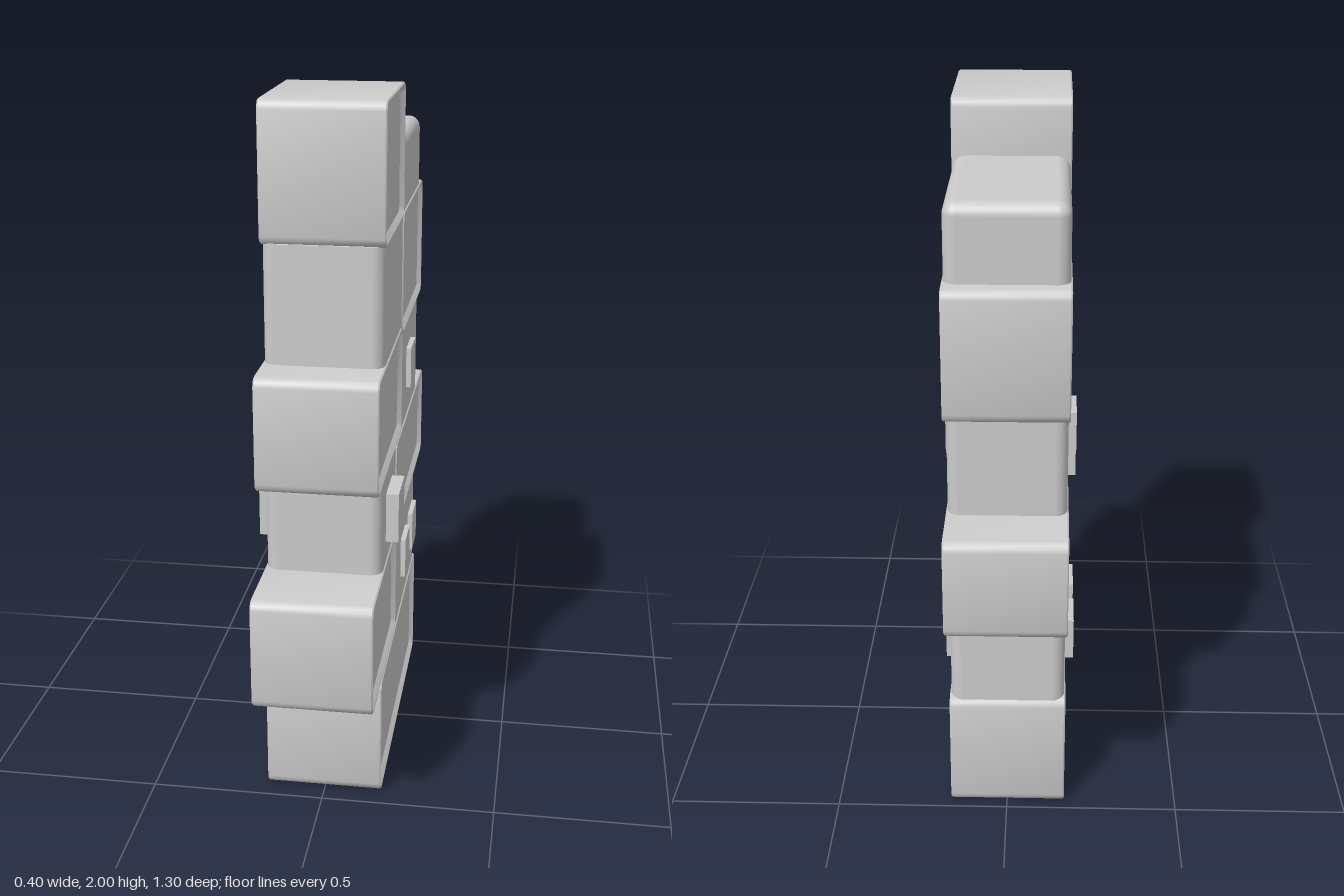
import * as THREE from 'three';
import { toCreasedNormals } from 'three/addons/utils/BufferGeometryUtils.js';
import { RoundedBoxGeometry } from 'three/addons/geometries/RoundedBoxGeometry.js';

const XR = -0.17, XL = 0.166;
const material = new THREE.MeshStandardMaterial({ color: 0xcccccc });

// Rounded rectangle in the y-z plane, counter-clockwise about +x
function ring(y0, y1, z0, z1, inset, radius) {
  const r = Math.max(radius - inset * 0.7, 0.004), points = [], steps = 3;
  const corners = [[y1, z1, -1, -1], [y0, z1, 1, -1], [y0, z0, 1, 1], [y1, z0, -1, 1]];
  corners.forEach(([y, z, sy, sz], k) => {
    for (let i = 0; i <= steps; i++) {
      const a = (k + i / steps) * Math.PI / 2;
      points.push([y + sy * (inset + r) + r * Math.cos(a), z + sz * (inset + r) + r * Math.sin(a)]);
    }
  });
  return points;
}

// Block with a thin raised rim and a recessed panel on each side
function framedBlock(y0, y1, z0, z1) {
  const sections = [
    [XR + 0.013, 0.02], [XR, 0.007], [XR, 0.003], [XR + 0.004, 0],
    [XL - 0.004, 0], [XL, 0.003], [XL, 0.007], [XL - 0.013, 0.02],
  ];
  const positions = [], indices = [];
  let n = 0;
  for (const [x, inset] of sections) {
    const points = ring(y0, y1, z0, z1, inset, 0.026);
    n = points.length;
    for (const [y, z] of points) positions.push(x, y, z);
  }
  for (let s = 0; s < sections.length - 1; s++) {
    for (let j = 0; j < n; j++) {
      const a = s * n + j, b = s * n + (j + 1) % n;
      indices.push(a, b, a + n, b, b + n, a + n);
    }
  }
  // Side panels
  const last = (sections.length - 1) * n;
  for (let j = 1; j < n - 1; j++) {
    indices.push(0, j + 1, j, last, last + j, last + j + 1);
  }
  const geometry = new THREE.BufferGeometry();
  geometry.setAttribute('position', new THREE.Float32BufferAttribute(positions, 3));
  geometry.setIndex(indices);
  return toCreasedNormals(geometry, 0.6);
}

// Rounded block, cut square wherever it butts against its neighbours
function coreBlock(y0, y1, z0, z1, roundTop) {
  const r = 0.035, front = z1 > 0.2;
  const lowY = y0 - r, highY = roundTop ? y1 : y1 + r;
  const lowZ = front ? z0 - r : z0, highZ = front ? z1 : z1 + r;
  const geometry = new RoundedBoxGeometry(0.328, highY - lowY, highZ - lowZ, 4, r);
  geometry.translate(-0.002, (lowY + highY) / 2, (lowZ + highZ) / 2);
  const p = geometry.attributes.position;
  for (let i = 0; i < p.count; i++) {
    p.setY(i, THREE.MathUtils.clamp(p.getY(i), y0, y1));
    p.setZ(i, THREE.MathUtils.clamp(p.getZ(i), z0, z1));
  }
  return geometry;
}

export function createModel() {
  const model = new THREE.Group();
  const add = (name, geometry) => {
    const mesh = new THREE.Mesh(geometry, material);
    mesh.name = name;
    model.add(mesh);
    return mesh;
  };

  // Overhanging framed rooms: y0, y1, z0, z1
  [
    [0, 0.36, -0.475, 0.445],
    [0.37, 0.695, 0.1, 0.65],
    [0.675, 0.965, -0.65, 0.12],
    [0.97, 1.295, -0.005, 0.55],
    [1.265, 1.63, -0.55, 0],
    [1.62, 2, -0.005, 0.43],
  ].forEach((b, i) => add(`framedBlock${i + 1}`, framedBlock(...b)));

  // Set-back plain rooms between them
  [
    [0.355, 0.68, -0.465, 0.103],
    [0.69, 0.975, 0.117, 0.435],
    [0.96, 1.27, -0.48, -0.002],
    [1.29, 1.625, -0.003, 0.425],
    [1.625, 1.84, -0.497, -0.002, true],
  ].forEach((b, i) => add(`coreBlock${i + 1}`, coreBlock(...b)));

  // Square window boxes standing out on both sides: y, z, size, x range
  [
    [0.52, -0.125, 0.125, -0.191, 0.177],
    [0.52, -0.332, 0.125, -0.191, 0.177],
    [0.832, 0.272, 0.145, -0.2, 0.198],
    [1.12, -0.213, 0.125, -0.191, 0.177],
  ].forEach(([y, z, size, x0, x1], i) => {
    add(`windowBox${i + 1}`, new THREE.BoxGeometry(x1 - x0, size, size))
      .position.set((x0 + x1) / 2, y, z);
  });

  return model;
}
